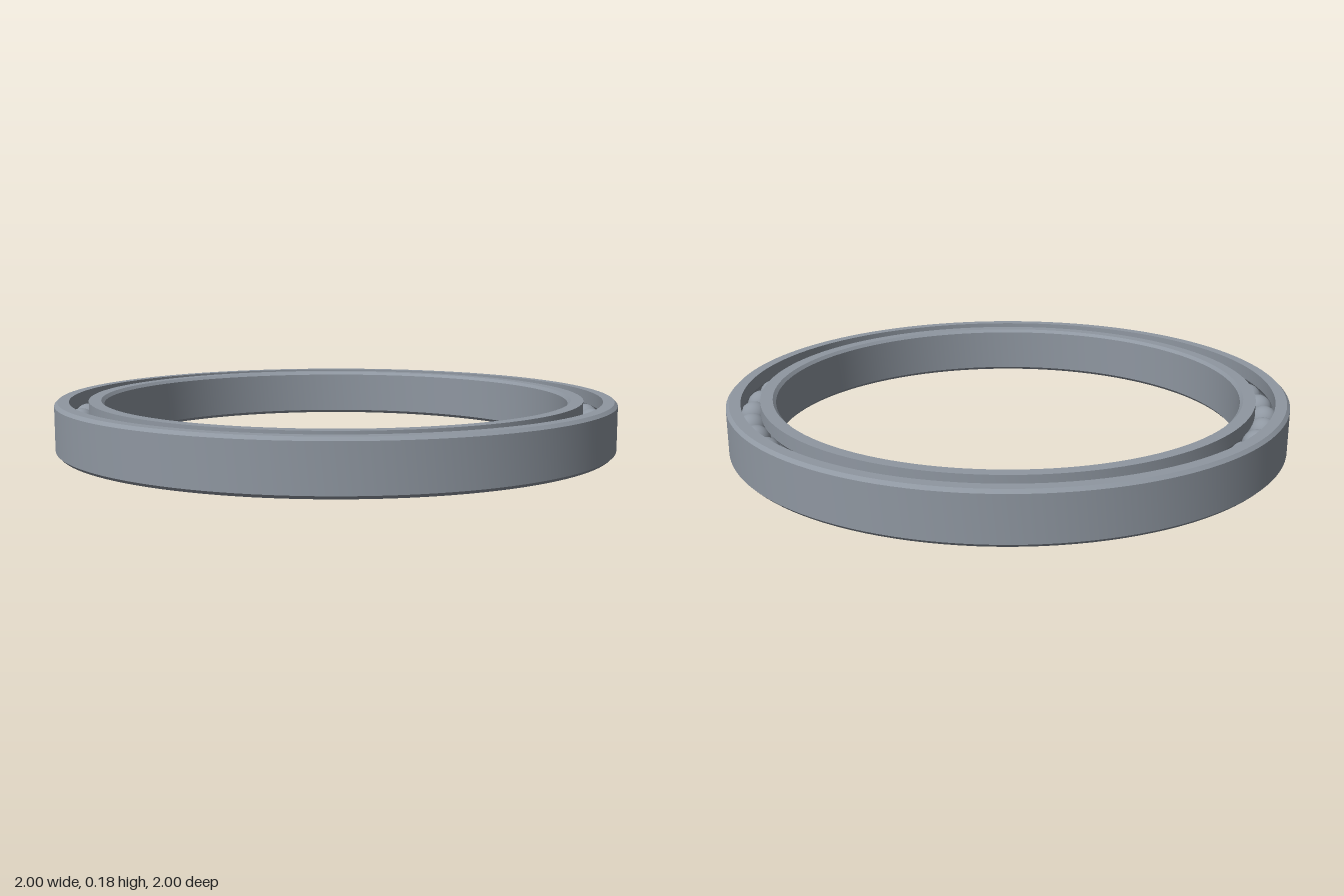
import * as THREE from 'three';
import { toCreasedNormals } from 'three/addons/utils/BufferGeometryUtils.js';

const HEIGHT = 0.178, MID = HEIGHT / 2;
const PITCH = 0.915;            // radius of the circle of ball centres
const BALL = 0.051, GROOVE = 0.053;
const BALL_COUNT = 43;
const CHAMFER = 0.011;

// Closed ring: chamfered on its wall side, with a round raceway on its race side.
// side = 1 is the outer ring, side = -1 the inner ring.
function ringGeometry(wall, race, side) {
  const half = Math.acos(Math.abs(race - PITCH) / GROOVE);
  const pts = [
    [race, 0],
    [wall - side * CHAMFER, 0],
    [wall, CHAMFER],
    [wall, HEIGHT - CHAMFER],
    [wall - side * CHAMFER, HEIGHT],
    [race, HEIGHT],
  ];
  const steps = 10;
  for (let i = 0; i <= steps; i++) {
    const a = half - (2 * half * i) / steps;
    pts.push([PITCH + side * GROOVE * Math.cos(a), MID + GROOVE * Math.sin(a)]);
  }
  pts.push([race, 0]);
  if (side < 0) pts.reverse();   // keep faces outward
  const lathe = new THREE.LatheGeometry(pts.map(([r, y]) => new THREE.Vector2(r, y)), 128);
  return toCreasedNormals(lathe, 0.5);
}

export function createModel() {
  const model = new THREE.Group();
  model.name = 'ballBearing';
  const steel = new THREE.MeshStandardMaterial({ color: 0x8f97a1 });
  steel.name = 'steel';

  // Outer and inner races
  const outerRing = new THREE.Mesh(ringGeometry(1, 0.95, 1), steel);
  outerRing.name = 'outerRing';
  const innerRing = new THREE.Mesh(ringGeometry(0.829, 0.883, -1), steel);
  innerRing.name = 'innerRing';
  model.add(outerRing, innerRing);

  // Balls spaced evenly between the races
  const balls = new THREE.Group();
  balls.name = 'balls';
  const ballGeometry = new THREE.SphereGeometry(BALL, 32, 20);
  for (let i = 0; i < BALL_COUNT; i++) {
    const a = Math.PI - 0.009 + (i * Math.PI * 2) / BALL_COUNT;
    const ball = new THREE.Mesh(ballGeometry, steel);
    ball.name = 'ball';
    ball.position.set(PITCH * Math.cos(a), MID, PITCH * Math.sin(a));
    balls.add(ball);
  }
  model.add(balls);
  return model;
}
